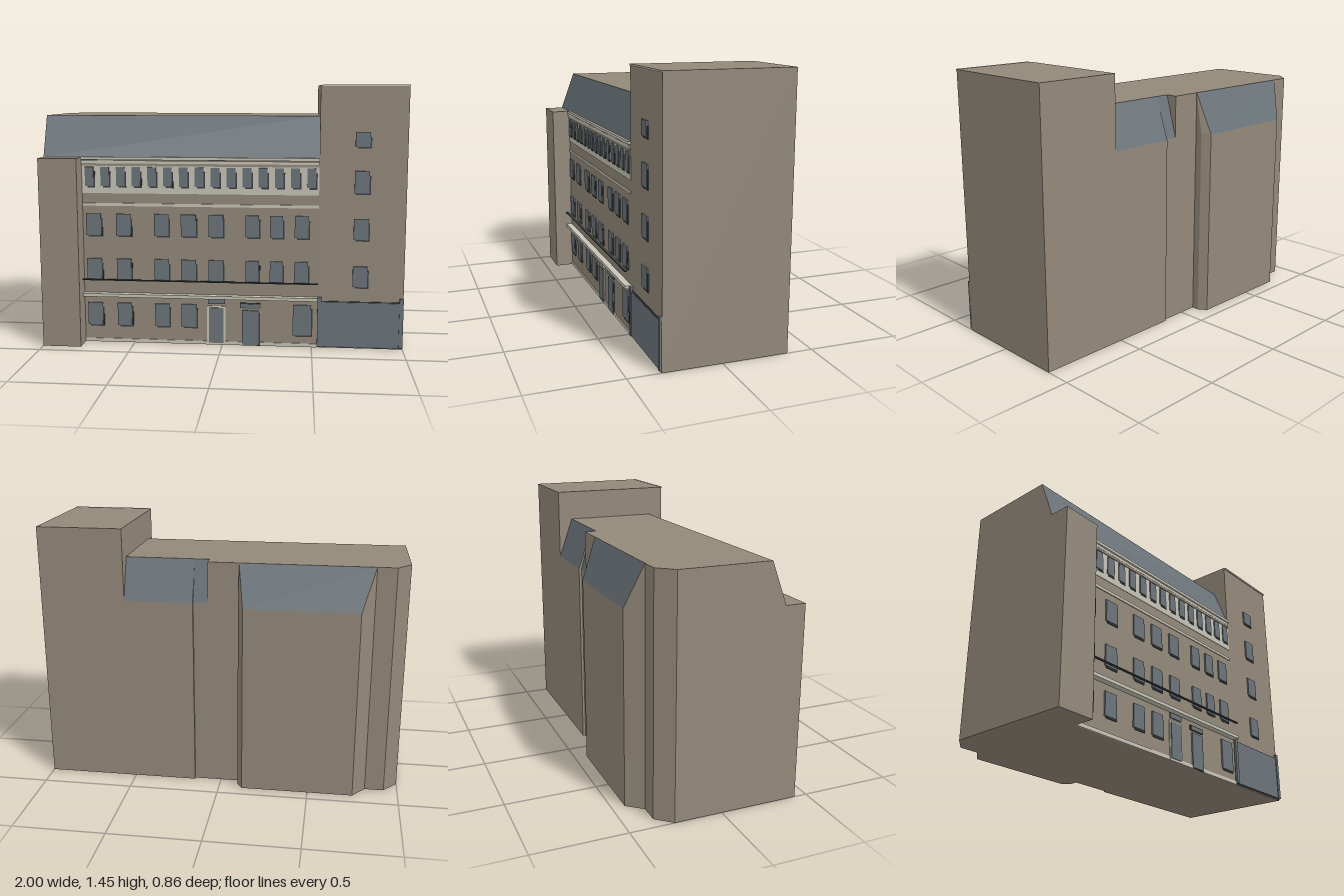
import * as THREE from 'three';

const mat = (name, color) => {
  const m = new THREE.MeshStandardMaterial({ color });
  m.name = name;
  return m;
};

// Prism between two plan outlines [x, z] of equal length; listed sides use the second material.
function loft(low, high, y0, y1, slateSides = [], caps = { bottom: true, top: true }) {
  const plain = [], slate = [];
  const n = low.length;
  const at = (p, y) => [p[0], y, p[1]];
  for (let i = 0; i < n; i++) {
    const j = (i + 1) % n;
    const a = at(low[i], y0), b = at(low[j], y0), c = at(high[j], y1), d = at(high[i], y1);
    (slateSides.includes(i) ? slate : plain).push(...a, ...b, ...c, ...a, ...c, ...d);
  }
  const cap = (ring, y, flip) => {
    const r = ring.filter((p, i) => i === 0 || p[0] !== ring[i - 1][0] || p[1] !== ring[i - 1][1]);
    const faces = THREE.ShapeUtils.triangulateShape(r.map(p => new THREE.Vector2(p[0], -p[1])), []);
    for (const f of faces) for (const k of flip ? [f[0], f[2], f[1]] : f) plain.push(...at(r[k], y));
  };
  if (caps.bottom) cap(low, y0, true);
  if (caps.top) cap(high, y1, false);
  const g = new THREE.BufferGeometry();
  g.setAttribute('position', new THREE.Float32BufferAttribute([...plain, ...slate], 3));
  g.addGroup(0, plain.length / 3, 0);
  g.addGroup(plain.length / 3, slate.length / 3, 1);
  g.computeVertexNormals();
  return g;
}

export function createModel() {
  const root = new THREE.Group();
  root.name = 'building';
  const wall = mat('wallStone', 0x93897a);
  const slate = mat('slate', 0x6b747a);
  const trim = mat('paleTrim', 0xc6c3b6);
  const dark = mat('darkFrame', 0x3a3f42);
  const FRONT = 0.32, EAVE = 1.055, ROOF = 1.283;

  const add = (name, geo, material, parent = root) => {
    const m = new THREE.Mesh(geo, material);
    m.name = name;
    parent.add(m);
    return m;
  };
  // Box given by its minimum and maximum on each axis
  const block = (name, material, x0, x1, y0, y1, z0, z1, parent = root) => {
    const m = add(name, new THREE.BoxGeometry(x1 - x0, y1 - y0, z1 - z0), material, parent);
    m.position.set((x0 + x1) / 2, (y0 + y1) / 2, (z0 + z1) / 2);
    return m;
  };

  // Main body below the eaves
  const plan = [[-1, FRONT], [0.53, FRONT], [0.53, -0.36], [0.15, -0.36], [0.15, -0.345],
    [-0.925, -0.345], [-1, -0.26]];
  add('mainWalls', loft(plan, plan, 0, EAVE, [], { bottom: true, top: false }), [wall, slate]);

  // Top storey with sloping slate at the front and at one part of the back
  const eaves = [[-1, FRONT], [0.53, FRONT], [0.53, -0.36], [0.15, -0.36], [0.15, -0.345],
    [0.07, -0.345], [0.07, -0.345], [-0.925, -0.345], [-1, -0.26]];
  const ridge = [[-1, 0.235], [0.53, 0.235], [0.53, -0.28], [0.15, -0.28], [0.15, -0.28],
    [0.07, -0.28], [0.07, -0.345], [-0.925, -0.345], [-1, -0.26]];
  add('mansardRoof', loft(eaves, ridge, EAVE, ROOF, [0, 2, 4], { bottom: false, top: true }), [wall, slate]);

  // Rear bay with its slate slope
  const bay = [[-0.1, -0.34], [-0.1, -0.385], [-0.13, -0.43], [-0.75, -0.43], [-0.82, -0.345]];
  const bayTop = [[-0.1, -0.34], [-0.1, -0.345], [-0.1, -0.345], [-0.82, -0.345], [-0.82, -0.345]];
  add('rearBayWalls', loft(bay, bay, 0, EAVE, [], { bottom: true, top: false }), [wall, slate]);
  add('rearBayRoof', loft(bay, bayTop, EAVE, ROOF, [2], { bottom: false, top: false }), [wall, slate]);

  // Tower and front pier
  block('tower', wall, 0.53, 1, 0, 1.45, -0.36, FRONT);
  block('towerLip', trim, 0.54, 1, 1.443, 1.452, FRONT, 0.327);
  block('frontPier', wall, -1, -0.785, 0, EAVE, 0.31, 0.43);

  // Horizontal bands: [name, material, y0, y1, depth]
  const bands = [
    ['plinth', trim, 0, 0.02, 0.004],
    ['groundCornice', trim, 0.27, 0.288, 0.036],
    ['topStoreyFacing', trim, 0.855, 1.008, 0.003],
    ['stringCourse', trim, 0.784, 0.8, 0.006],
    ['upperBand', wall, 1.008, 1.022, 0.007],
    ['eavesLower', trim, 1.022, 1.038, 0.008],
    ['eavesUpper', trim, 1.042, 1.058, 0.014],
  ];
  for (const [name, m, y0, y1, d] of bands) block(name, m, -0.785, 0.53, y0, y1, FRONT - 0.005, FRONT + d);
  block('ledgeRail', dark, -0.785, 0.53, 0.365, 0.371, 0.345, 0.358);

  // Windows: slate pane over a slightly offset dark reveal
  const windows = new THREE.Group();
  windows.name = 'windows';
  root.add(windows);
  const pane = (x0, x1, y0, y1) => {
    block('windowReveal', dark, x0 + 0.012, x1 + 0.002, y0 - 0.003, y1 - 0.025, FRONT - 0.002, FRONT + 0.006, windows);
    block('windowPane', slate, x0, x1 - 0.006, y0 + 0.006, y1, FRONT, FRONT + 0.009, windows);
  };
  const columns = [[-0.765, -0.675], [-0.595, -0.507], [-0.38, -0.293], [-0.23, -0.14],
    [-0.075, 0.012], [0.13, 0.21], [0.265, 0.342], [0.4, 0.482]];
  columns.forEach(([a, b], i) => {
    pane(a, b, 0.613, 0.74);
    pane(a, b, 0.36, 0.485);
    if (i < 4) pane(a, b, 0.095, 0.23);
  });
  pane(0.395, 0.502, 0.062, 0.24);
  for (let i = 0; i < 15; i++) {
    const x = -0.74 + i * 0.0879;
    pane(x - 0.026, x + 0.028, 0.89, 1.002);
  }
  for (const [a, b] of [[0.345, 0.465], [0.608, 0.73], [0.865, 0.99], [1.115, 1.2]]) pane(0.72, 0.805, a, b);

  // Doors
  block('doorSurround', trim, -0.085, 0.018, 0, 0.224, FRONT, FRONT + 0.006);
  block('door', slate, -0.075, 0.008, 0.012, 0.215, FRONT, FRONT + 0.01);
  block('doorTransom', slate, -0.08, 0.015, 0.237, 0.265, FRONT, FRONT + 0.009);
  block('sideDoorReveal', dark, 0.12, 0.212, 0, 0.19, FRONT, FRONT + 0.005);
  block('sideDoor', slate, 0.112, 0.204, 0.005, 0.203, FRONT, FRONT + 0.009);
  block('sideDoorTransom', dark, 0.1, 0.215, 0.216, 0.246, FRONT, FRONT + 0.006);
  block('sideDoorTransomPane', slate, 0.105, 0.213, 0.219, 0.24, FRONT, FRONT + 0.009);

  // Wide shopfront at the foot of the tower
  block('shopfrontFrame', dark, 0.53, 1, 0.005, 0.267, FRONT, FRONT + 0.005);
  block('shopfrontPanel', slate, 0.535, 0.995, 0.01, 0.262, FRONT, FRONT + 0.009);
  for (const x of [0.53, 0.978]) block('shopfrontPost', slate, x, x + 0.022, 0.01, 0.288, FRONT, FRONT + 0.014);

  return root;
}
